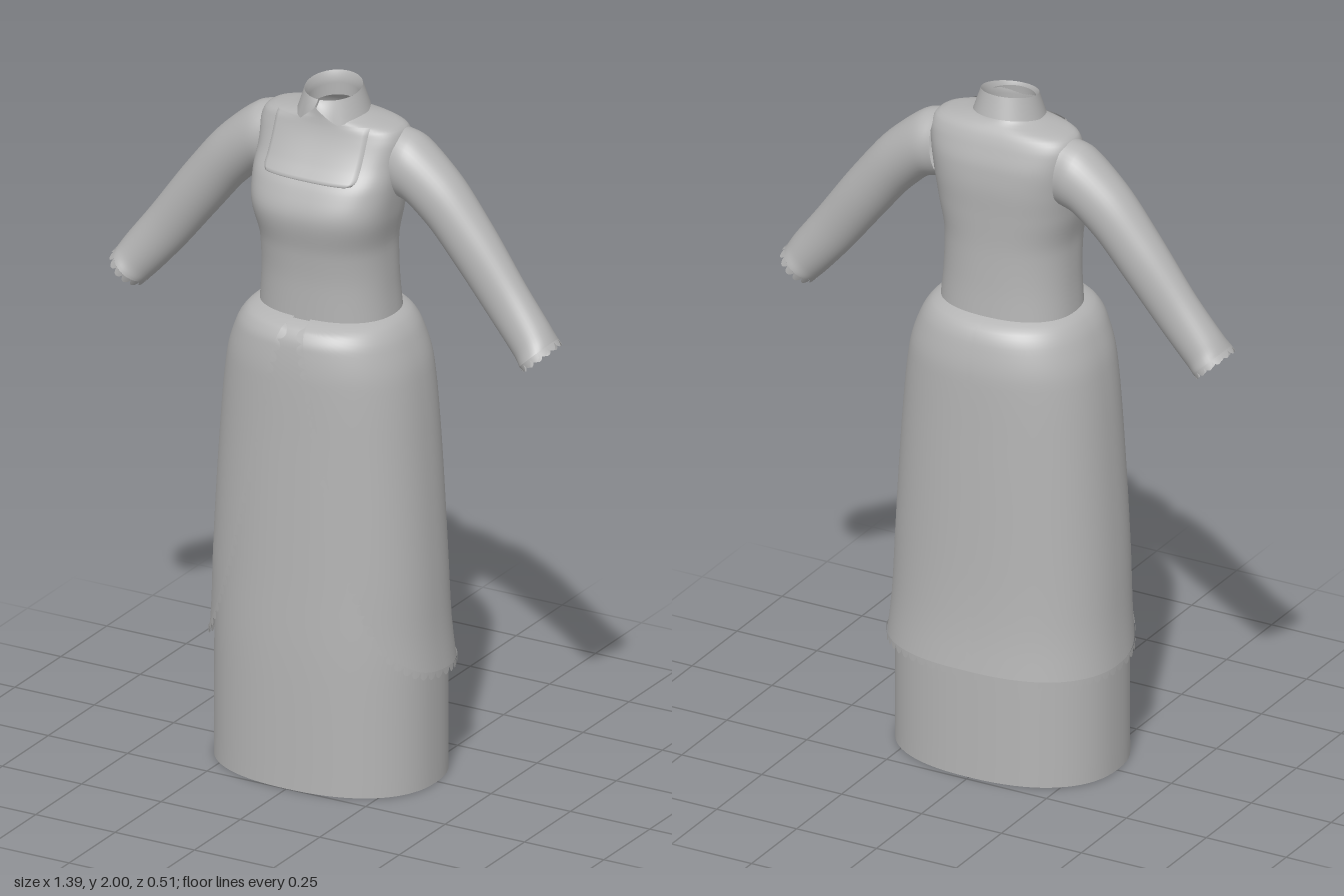
import * as THREE from 'three';
import { mergeVertices } from 'three/addons/utils/BufferGeometryUtils.js';

const cloth = new THREE.MeshStandardMaterial({ color: 0xb4b4b4, side: THREE.DoubleSide });
cloth.name = 'grey cloth';

// Cross-sections: height, half width, front z, back z, roundness exponent (2 = ellipse)
const BODICE = [
  [1.335, 0.2, 0.163, -0.155, 2.3], [1.45, 0.191, 0.165, -0.148, 2.3],
  [1.55, 0.188, 0.174, -0.146, 2.4], [1.66, 0.206, 0.194, -0.15, 2.6],
  [1.74, 0.213, 0.166, -0.154, 2.7], [1.8, 0.215, 0.118, -0.15, 2.8],
  [1.86, 0.22, 0.083, -0.133, 2.8], [1.89, 0.212, 0.071, -0.12, 2.7],
  [1.905, 0.19, 0.067, -0.11, 2.5], [1.92, 0.11, 0.065, -0.096, 2.1],
  [1.94, 0.078, 0.064, -0.085, 2], [1.965, 0.073, 0.062, -0.082, 2],
];
const UNDERSKIRT = [
  [0, 0.33, 0.25, -0.238, 2.3], [0.35, 0.329, 0.249, -0.238, 2.3],
  [0.6, 0.318, 0.243, -0.23, 2.3], [1.0, 0.293, 0.234, -0.22, 2.3],
  [1.2, 0.27, 0.23, -0.215, 2.3], [1.3, 0.238, 0.221, -0.196, 2.3],
  [1.34, 0.21, 0.2, -0.176, 2.3], [1.36, 0.17, 0.15, -0.14, 2.3],
];
const OVERSKIRT = [
  [0.3, 0.35, 0.26, -0.264, 2.3], [0.45, 0.337, 0.256, -0.247, 2.3],
  [0.6, 0.331, 0.255, -0.24, 2.3], [1.0, 0.306, 0.249, -0.233, 2.3],
  [1.2, 0.284, 0.247, -0.229, 2.3], [1.3, 0.252, 0.237, -0.211, 2.3],
  [1.34, 0.225, 0.216, -0.19, 2.3], [1.355, 0.203, 0.184, -0.165, 2.3],
  [1.365, 0.175, 0.145, -0.14, 2.3],
];

// Monotone cubic interpolation of a table along its first column
function lookup(table, k) {
  const n = table.length;
  k = Math.min(Math.max(k, table[0][0]), table[n - 1][0]);
  let i = 0;
  while (i < n - 2 && k > table[i + 1][0]) i++;
  const a = table[i], b = table[i + 1], h = b[0] - a[0], t = (k - a[0]) / h;
  const slope = (j, c) => (table[j + 1][c] - table[j][c]) / (table[j + 1][0] - table[j][0]);
  const tangent = (j, c) => {
    if (j === 0) return slope(0, c);
    if (j === n - 1) return slope(n - 2, c);
    const p = slope(j - 1, c), q = slope(j, c);
    return p * q <= 0 ? 0 : (2 * p * q) / (p + q);
  };
  return a.map((_, c) => {
    const m0 = tangent(i, c) * h, m1 = tangent(i + 1, c) * h, d = b[c] - a[c];
    return a[c] + t * (m0 + t * (3 * d - 2 * m0 - m1 + t * (m0 + m1 - 2 * d)));
  });
}

// Point on a body section; angle 0 is the front, PI/2 the left side
function onBody(table, angle, y) {
  const [, w, zf, zb, n] = lookup(table, y);
  const pw = (v) => Math.sign(v) * Math.abs(v) ** (2 / n);
  return new THREE.Vector3(w * pw(Math.sin(angle)), y, (zf + zb) / 2 + ((zf - zb) / 2) * pw(Math.cos(angle)));
}

// Smooth surface from a rule f(u, v)
function surface(name, nu, nv, f) {
  const pos = [], idx = [];
  for (let j = 0; j <= nv; j++)
    for (let i = 0; i <= nu; i++) pos.push(...f(i / nu, j / nv));
  for (let j = 0; j < nv; j++)
    for (let i = 0; i < nu; i++) {
      const a = j * (nu + 1) + i, b = a + nu + 1;
      idx.push(a, a + 1, b + 1, a, b + 1, b);
    }
  let g = new THREE.BufferGeometry();
  g.setAttribute('position', new THREE.Float32BufferAttribute(pos, 3));
  g.setIndex(idx);
  g = mergeVertices(g, 1e-5);
  g.computeVertexNormals();
  const mesh = new THREE.Mesh(g, cloth);
  mesh.name = name;
  return mesh;
}

const TAU = Math.PI * 2;
const easeTop = (lo, hi, v) => lo + (hi - lo) * (1 - (1 - v) ** 2);
const scallop = (u, count) => Math.abs(Math.sin(u * count * Math.PI)) ** 0.6;

// Hem of the open overskirt: (angle * 0.33, y), from waist front round to centre back
const hem = new THREE.CatmullRomCurve3([
  [0.1, 1.35], [0.187, 1.2], [0.29, 1.0], [0.44, 0.8], [0.61, 0.6], [0.91, 0.42],
  [1.2, 0.36], [1.55, 0.335], [2.2, 0.327], [Math.PI, 0.33],
].map(([a, y]) => new THREE.Vector3(a * 0.33, y, 0)));
hem.arcLengthDivisions = 600;
const hemAt = (u) => {
  const p = hem.getPointAt(Math.min(Math.max(u, 0), 1));
  return [p.x / 0.33, p.y];
};

// Sleeve sections: top edge x, y, bottom edge x, y, half depth, centre z
const SLEEVE = [
  [0, 0.2, 1.895, 0.185, 1.7, 0.08, -0.035], [1, 0.245, 1.883, 0.225, 1.69, 0.086, -0.035],
  [2, 0.36, 1.792, 0.295, 1.632, 0.077, -0.035], [3, 0.47, 1.66, 0.385, 1.525, 0.067, -0.034],
  [4, 0.585, 1.502, 0.49, 1.396, 0.058, -0.03], [5, 0.662, 1.4, 0.572, 1.305, 0.063, -0.024],
  [6, 0.684, 1.366, 0.594, 1.283, 0.073, -0.02],
];
function sleevePoint(angle, k, extra = 0) {
  const [, tx, ty, bx, by, hz, zc] = lookup(SLEEVE, k);
  const c = Math.cos(angle) / 2;
  return [(tx + bx) / 2 + (tx - bx) * c + extra * 0.67, (ty + by) / 2 + (ty - by) * c - extra * 0.74,
    zc + hz * Math.sin(angle)];
}

export function createModel() {
  const model = new THREE.Group();
  model.name = 'dress';

  // Bodice with open neck
  model.add(surface('bodice', 72, 60, (u, v) => onBody(BODICE, u * TAU, easeTop(1.335, 1.965, v))));

  // Slightly raised square yoke with rounded lower corners
  model.add(surface('yoke', 40, 24, (u, v) => {
    const y = 1.757 + 0.151 * v, s = Math.min(v / 0.16, 1);
    const x = (u * 2 - 1) * (0.118 + 0.03 * Math.sqrt(1 - (1 - s) ** 2));
    const [, w, zf, zb, n] = lookup(BODICE, y);
    const z = (zf + zb) / 2 + ((zf - zb) / 2) * (1 - Math.min(Math.abs(x) / w, 1) ** n) ** (1 / n);
    const edge = u === 0 || u === 1 || v === 0;
    return [x, y, z + (edge ? -0.003 : 0.006)];
  }));

  // Folded collar with two points, and its inner stand
  const collar = new THREE.Group();
  collar.name = 'collar';
  collar.add(surface('collarFall', 64, 6, (u, v) => {
    const a = 0.03 + u * (TAU - 0.06), c = Math.cos(a);
    const nearFront = Math.min(a, TAU - a);
    const top = 1.986 - 0.014 * c;
    const bottom = 1.922 - 0.018 * c + 0.052 * Math.max(0, 1 - nearFront / 0.6);
    const r = 0.08 + 0.021 * v;
    return [r * Math.sin(a), top + (bottom - top) * v, -0.008 + r * c];
  }));
  collar.add(surface('collarStand', 48, 4, (u, v) => {
    const a = u * TAU, c = Math.cos(a), r = 0.08 - 0.008 * Math.min(1, v * 4);
    return [r * Math.sin(a), 1.986 - 0.014 * c - 0.07 * v, -0.008 + r * c];
  }));
  model.add(collar);

  // Underskirt with a thick lower rim and lining
  model.add(surface('underskirt', 72, 40, (u, v) => onBody(UNDERSKIRT, u * TAU, easeTop(0, 1.36, v))));
  const inner = (a, y, k) => {
    const p = onBody(UNDERSKIRT, a, y);
    return [p.x * k, p.y, p.z * k];
  };
  model.add(surface('underskirtRim', 72, 1, (u, v) => inner(u * TAU, 0, 1 - 0.045 * v)));
  model.add(surface('underskirtLining', 72, 20, (u, v) => inner(u * TAU, easeTop(0, 1.3, v), 0.955)));

  for (const [side, s] of [['left', 1], ['right', -1]]) {
    // Overskirt half, cut away at the front
    model.add(surface(side + 'Overskirt', 150, 36, (u, v) => {
      const [a, y] = hemAt(u);
      const p = onBody(OVERSKIRT, a, easeTop(y, 1.365, v));
      return [s * p.x, p.y, p.z];
    }));

    // Scalloped trim lying along the hem
    model.add(surface(side + 'OverskirtTrim', 400, 2, (u, v) => {
      const at = (k) => onBody(OVERSKIRT, ...hemAt(k));
      const p = at(u), [a, y] = hemAt(u);
      const tangent = at(u + 0.002).sub(at(u - 0.002)).normalize();
      const round = onBody(OVERSKIRT, a + 0.01, y).sub(onBody(OVERSKIRT, a - 0.01, y));
      const normal = new THREE.Vector3(-round.z, 0, round.x).normalize();
      const out = tangent.cross(normal).normalize();
      p.addScaledVector(out, v * (0.003 + 0.019 * scallop(u, 50)) - 0.004).addScaledVector(normal, 0.003);
      return [s * p.x, p.y, p.z];
    }));

    // Sleeve and scalloped cuff
    const sleeve = new THREE.Group();
    sleeve.name = side + 'Sleeve';
    sleeve.add(surface(side + 'SleeveBody', 40, 36, (u, v) => {
      const [x, y, z] = sleevePoint(u * TAU, v * 6);
      return [s * x, y, z];
    }));
    sleeve.add(surface(side + 'CuffTrim', 112, 2, (u, v) => {
      const [x, y, z] = sleevePoint(u * TAU, 6, v * (0.003 + 0.017 * scallop(u, 14)));
      return [s * x, y, z];
    }));
    model.add(sleeve);
  }
  return model;
}
